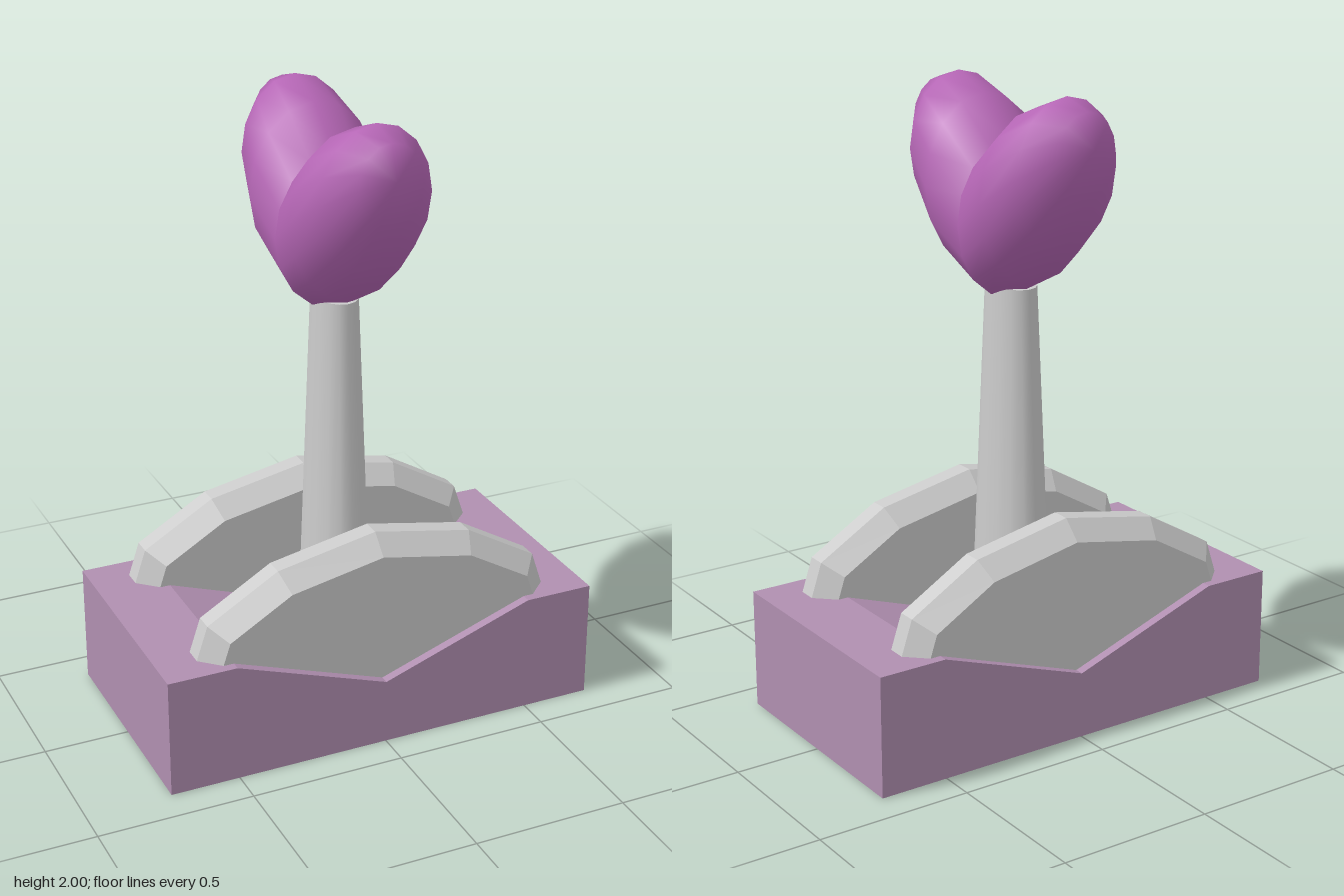
import * as THREE from 'three';

const grey = new THREE.MeshStandardMaterial({ color: 0xcccccc });
const flatGrey = new THREE.MeshStandardMaterial({ color: 0xcccccc, flatShading: true });
const palePurple = new THREE.MeshStandardMaterial({ color: 0xb08fb0, flatShading: true });
const purple = new THREE.MeshStandardMaterial({ color: 0xb566b5 });

const shapeOf = (points) => new THREE.Shape(points.map(([x, y]) => new THREE.Vector2(x, y)));

function addMesh(group, name, geometry, material) {
  const mesh = new THREE.Mesh(geometry, material);
  mesh.name = name;
  group.add(mesh);
  return mesh;
}

// Block with a wide V-shaped trough across its top
function baseGeometry() {
  const profile = shapeOf([
    [-0.725, 0], [0.725, 0], [0.725, 0.39], [0.5, 0.39],
    [0, 0.215], [-0.5, 0.39], [-0.725, 0.39],
  ]);
  return new THREE.ExtrudeGeometry(profile, { depth: 0.78, bevelEnabled: false }).translate(0, 0, -0.39);
}

// Bevelled arched plate, its lower edge sunk into the block
function plateGeometry() {
  const half = [[0.54, 0.37], [0.51, 0.46], [0.305, 0.58]];
  const mirrored = half.map(([x, y]) => [-x, y]).reverse();
  const outline = shapeOf([[0, 0.18], ...half, [0, 0.64], ...mirrored]);
  return new THREE.ExtrudeGeometry(outline, {
    depth: 0.06, bevelEnabled: true, bevelSegments: 1, bevelSize: 0.06, bevelThickness: 0.06,
  }).translate(0, 0, -0.03);
}

// Half a heart: a sheared ellipsoid cut off at z = 0
function lobeGeometry() {
  const centreZ = 0.125, centreY = 1.665, radiusZ = 0.3;
  const cut = Math.acos(-centreZ / radiusZ);
  return new THREE.SphereGeometry(1, 16, 4, 0, Math.PI * 2, 0, cut).applyMatrix4(
    new THREE.Matrix4().set(
      0.215, 0, 0, 0,
      0, 0.198, -0.27, centreY,
      0, radiusZ, 0, centreZ,
      0, 0, 0, 1,
    ),
  );
}

export function createModel() {
  const model = new THREE.Group();
  model.name = 'heartLever';

  addMesh(model, 'base', baseGeometry(), palePurple);

  // Tapered oval stem, standing in the trough
  const stem = addMesh(model, 'stem', new THREE.CylinderGeometry(0.1, 0.16, 1.18, 16), grey);
  stem.scale.x = 0.7;
  stem.position.y = 0.79;

  // Front and back plates and heart halves
  const plate = plateGeometry();
  const lobe = lobeGeometry();
  const heart = new THREE.Group();
  heart.name = 'heart';
  for (const [side, z, turn] of [['front', 0.27, 0], ['back', -0.27, Math.PI]]) {
    addMesh(model, side + 'Plate', plate, flatGrey).position.z = z;
    addMesh(heart, side + 'Lobe', lobe, purple).rotation.y = turn;
  }
  model.add(heart);
  return model;
}
